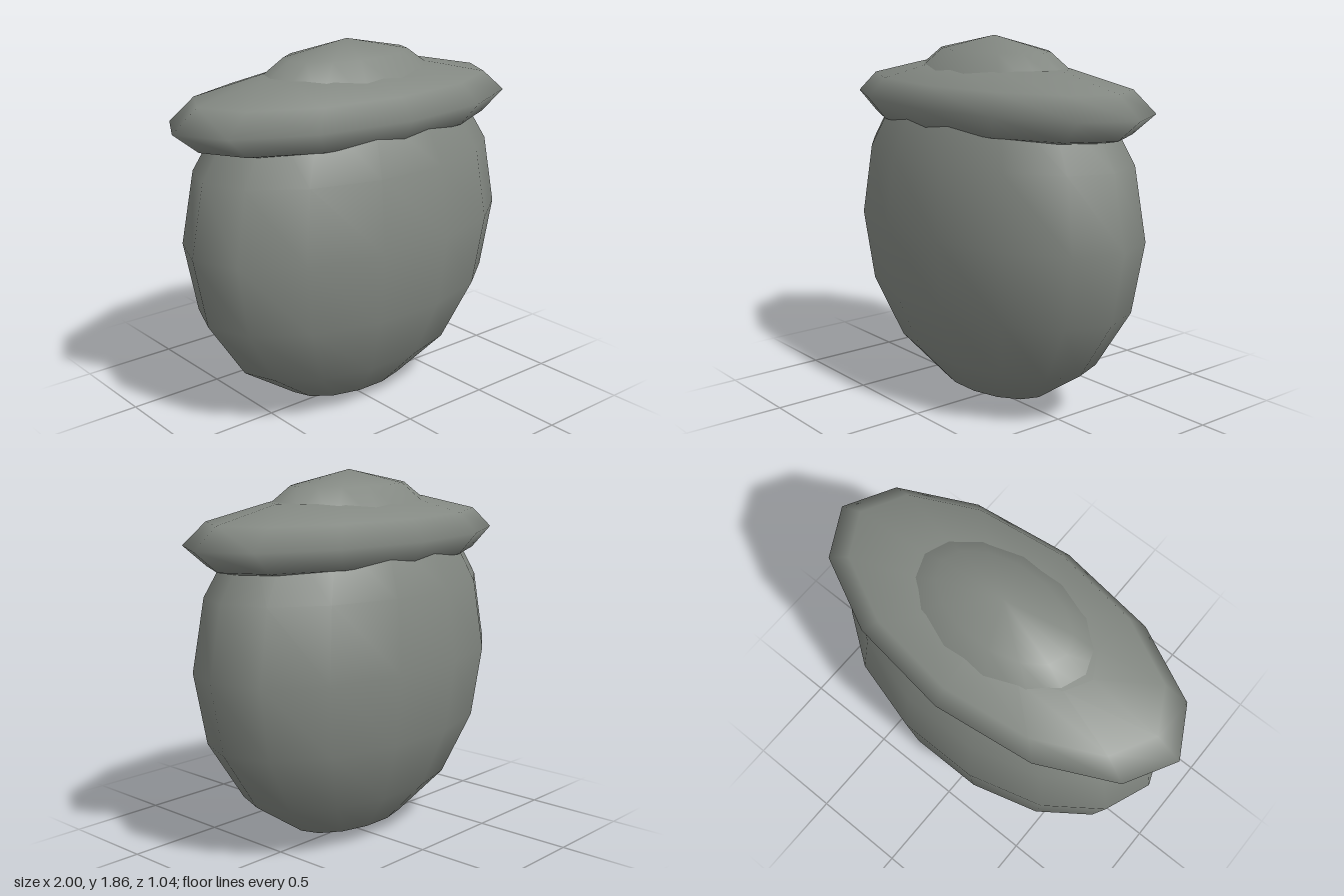
import * as THREE from 'three';

// Dark grey with a faint green tint
const material = new THREE.MeshStandardMaterial({ color: 0x838882 });

// Low-segment smooth ellipsoid with its centre at height y
function ellipsoid(name, y, [rx, ry, rz], widthSegments, heightSegments) {
  const geometry = new THREE.SphereGeometry(1, widthSegments, heightSegments);
  geometry.scale(rx, ry, rz);
  const mesh = new THREE.Mesh(geometry, material);
  mesh.name = name;
  mesh.position.y = y;
  return mesh;
}

export function createModel() {
  const model = new THREE.Group();
  model.name = 'brimmedBody';

  // Flattened round body; its top pokes through the brim as a crown
  model.add(ellipsoid('body', 0.93, [0.925, 0.93, 0.535], 14, 8));

  // Wide, thin brim around the upper body
  model.add(ellipsoid('brim', 1.535, [1, 0.208, 0.485], 12, 6));

  return model;
}
